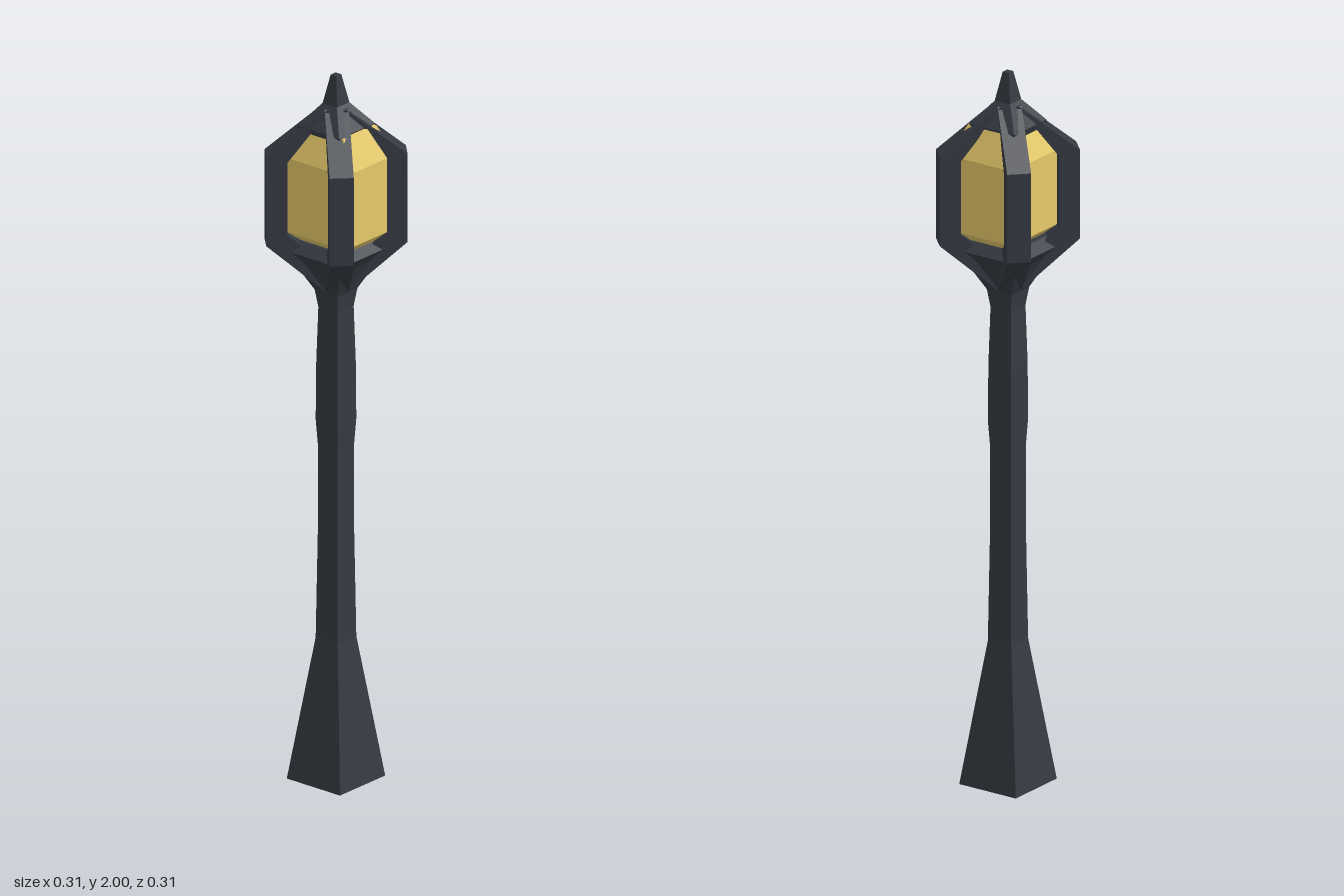
import * as THREE from 'three';

const iron = new THREE.MeshStandardMaterial({ color: 0x353a42, flatShading: true });
const amber = new THREE.MeshStandardMaterial({ color: 0xe6ca6a, flatShading: true });

// Square-section solid from [halfWidth, y] pairs, bottom to top, closed at both ends
function squareLoft(name, profile, material) {
  const points = profile.map(([h, y]) => new THREE.Vector2(h * Math.SQRT2, y));
  points.unshift(new THREE.Vector2(0, profile[0][1]));
  points.push(new THREE.Vector2(0, profile[profile.length - 1][1]));
  const mesh = new THREE.Mesh(new THREE.LatheGeometry(points, 4, Math.PI / 4), material);
  mesh.name = name;
  return mesh;
}

export function createModel() {
  const lamp = new THREE.Group();
  lamp.name = 'streetLamp';

  // Post with flared foot and slight swelling
  lamp.add(squareLoft('post', [
    [0.092, 0], [0.038, 0.4], [0.034, 0.7], [0.034, 0.95],
    [0.038, 1.02], [0.037, 1.18], [0.033, 1.34], [0.04, 1.39],
  ], iron));

  // Collar under the glass
  lamp.add(squareLoft('collar', [
    [0.04, 1.39], [0.085, 1.48], [0.108, 1.51], [0.08, 1.535],
  ], iron));

  // Glass body with sloped top and bottom
  const glass = squareLoft('glass', [
    [0.07, 1.53], [0.103, 1.56], [0.103, 1.77], [0.066, 1.855],
  ], amber);
  glass.position.set(0.004, 0, 0.0135);
  lamp.add(glass);

  // Roof and finial
  lamp.add(squareLoft('roof', [
    [0.066, 1.838], [0.073, 1.858], [0.025, 1.92], [0.01, 2.0],
  ], iron));

  // Four diagonal cage arms, drawn as radius against height
  const outline = [
    [0, 1.39], [0.025, 1.39], [0.187, 1.53], [0.187, 1.78], [0.025, 1.91], [0, 1.91],
    [0, 1.845], [0.07, 1.845], [0.131, 1.765], [0.131, 1.56], [0.085, 1.52], [0, 1.52],
  ].map(([r, y]) => new THREE.Vector2(r, y));
  const width = 0.064;
  const armGeometry = new THREE.ExtrudeGeometry(new THREE.Shape(outline), {
    depth: width, bevelEnabled: false,
  });
  armGeometry.translate(0, 0, -width / 2);
  for (let i = 0; i < 4; i++) {
    const arm = new THREE.Mesh(armGeometry, iron);
    arm.name = 'cageArm' + (i + 1);
    arm.rotation.y = Math.PI / 4 + (i * Math.PI) / 2;
    lamp.add(arm);
  }

  return lamp;
}
